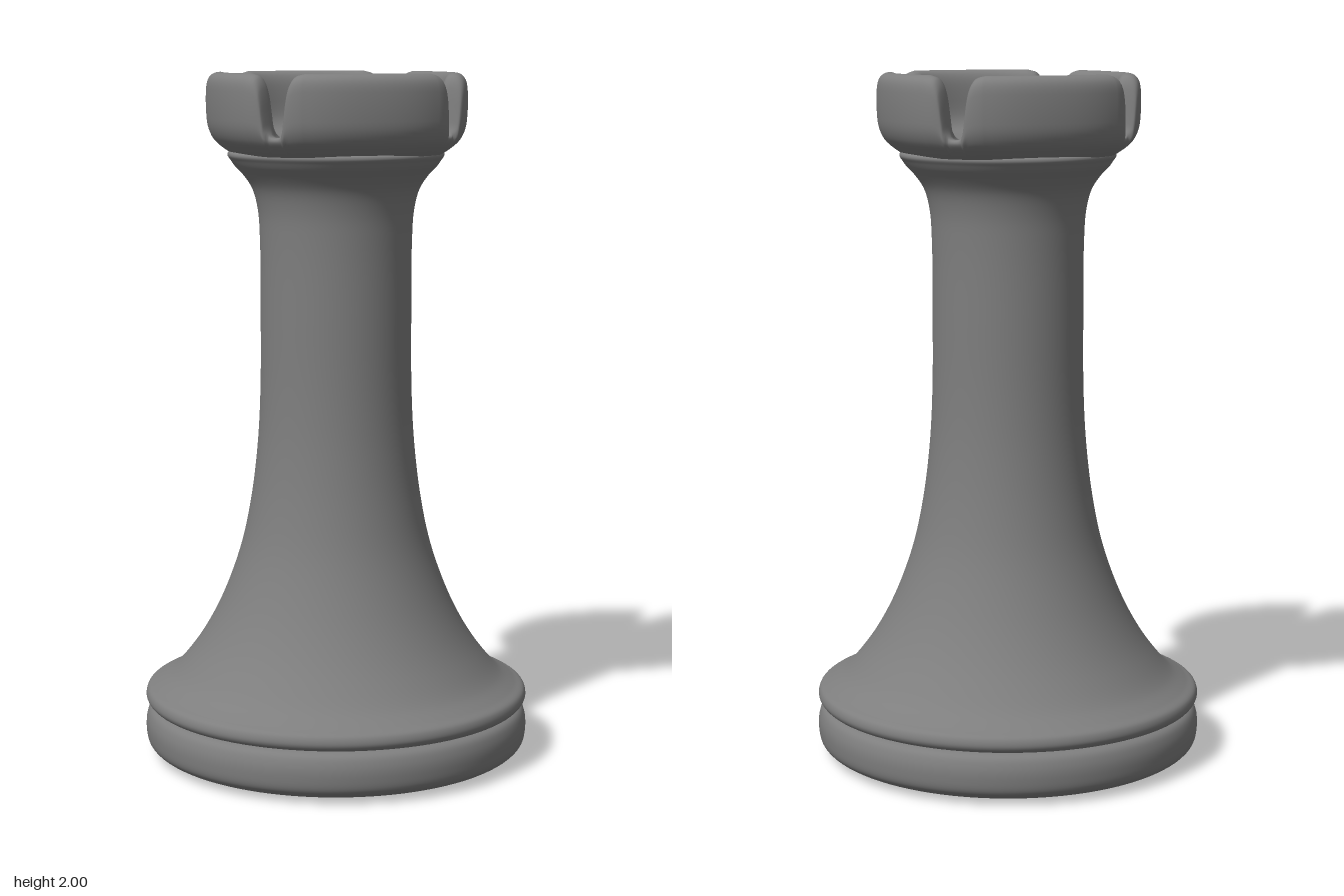
import * as THREE from 'three';

const material = new THREE.MeshStandardMaterial({ color: 0x7e7e7e });
const { clamp, lerp } = THREE.MathUtils;

// Smooth curve through a few [radius, height] points
function smoothProfile(points, perSegment) {
  const curve = new THREE.CatmullRomCurve3(
    points.map(([r, y]) => new THREE.Vector3(r, y, 0)), false, 'centripetal');
  return curve.getPoints((points.length - 1) * perSegment)
    .map((p) => new THREE.Vector2(Math.max(0, p.x), Math.max(0, p.y)));
}

function turned(name, points) {
  const mesh = new THREE.Mesh(new THREE.LatheGeometry(smoothProfile(points, 6), 96), material);
  mesh.name = name;
  return mesh;
}

// Crown: one ring of sections blending between a merlon wall and a low notch
function crownGeometry() {
  const wall = smoothProfile([
    [0.305, 1.77], [0.333, 1.789], [0.355, 1.81], [0.369, 1.838], [0.375, 1.87],
    [0.376, 1.95], [0.370, 1.98], [0.357, 1.995], [0.338, 2.0], [0.320, 1.993],
    [0.308, 1.97], [0.302, 1.93], [0.296, 1.87], [0.279, 1.838], [0.25, 1.821],
    [0.15, 1.815], [0, 1.815],
  ], 3);
  const notch = smoothProfile([
    [0.305, 1.77], [0.325, 1.784], [0.34, 1.797], [0.349, 1.808], [0.352, 1.815],
    [0.351, 1.82], [0.348, 1.823], [0.344, 1.8245], [0.338, 1.825], [0.332, 1.825],
    [0.328, 1.8245], [0.32, 1.823], [0.308, 1.821], [0.29, 1.819], [0.25, 1.816],
    [0.15, 1.815], [0, 1.815],
  ], 3);

  // Edge of a merlon seen from outside: [distance from notch centre, height]
  const edge = smoothProfile([
    [0, 1.825], [0.014, 1.828], [0.026, 1.845], [0.032, 1.88], [0.039, 1.94],
    [0.047, 1.973], [0.061, 1.992], [0.088, 2.0],
  ], 4);
  const eighth = edge.map((p) => ({
    angle: p.x / 0.36,
    rise: clamp((p.y - 1.825) / 0.175, 0, 1),
    width: Math.sqrt(1 - (1 - clamp((p.x - 0.022) / 0.066, 0, 1)) ** 2),
  }));
  const first = eighth[eighth.length - 1].angle;
  for (let i = 1; i <= 10; i++) {
    eighth.push({ angle: lerp(first, Math.PI / 4, i / 10), rise: 1, width: 1 });
  }
  // mirror to a quarter, leaving out the shared end stations
  const quarter = eighth.concat(eighth.slice(1, -1).reverse()
    .map((s) => ({ ...s, angle: Math.PI / 2 - s.angle })));

  const positions = [], indices = [];
  for (let q = 0; q < 4; q++) {
    for (const { angle, rise, width } of quarter) {
      const a = angle + (q * Math.PI) / 2;
      const squareness = 1 + 0.03 * Math.cos(4 * a); // flatter on the diagonals
      wall.forEach((p, j) => {
        const r = lerp(notch[j].x, p.x, width) * squareness;
        positions.push(r * Math.sin(a), lerp(notch[j].y, p.y, rise), r * Math.cos(a));
      });
    }
  }
  const n = wall.length, stations = quarter.length * 4;
  for (let i = 0; i < stations; i++) {
    for (let j = 0; j < n - 1; j++) {
      const a = i * n + j, b = ((i + 1) % stations) * n + j;
      indices.push(a, b, a + 1, b, b + 1, a + 1);
    }
  }
  const geometry = new THREE.BufferGeometry();
  geometry.setAttribute('position', new THREE.Float32BufferAttribute(positions, 3));
  geometry.setIndex(indices);
  geometry.computeVertexNormals();
  return geometry;
}

export function createModel() {
  const group = new THREE.Group();
  group.name = 'rook';

  // Rounded foot disc
  group.add(turned('foot', [
    [0, 0], [0.40, 0], [0.47, 0.004], [0.53, 0.018], [0.557, 0.04], [0.565, 0.08],
    [0.562, 0.115], [0.55, 0.14], [0.525, 0.15], [0.40, 0.152], [0, 0.152],
  ]));

  // Base ring, flared shaft and collar
  group.add(turned('shaft', [
    [0.40, 0.15], [0.535, 0.152], [0.555, 0.16], [0.564, 0.176], [0.558, 0.198],
    [0.53, 0.213], [0.485, 0.242], [0.43, 0.305], [0.38, 0.38], [0.33, 0.48],
    [0.28, 0.62], [0.25, 0.76], [0.23, 0.92], [0.221, 1.08], [0.219, 1.3],
    [0.22, 1.52], [0.226, 1.61], [0.242, 1.67], [0.27, 1.712], [0.292, 1.735],
    [0.304, 1.752], [0.312, 1.765], [0.309, 1.774], [0.28, 1.78],
  ]));

  // Crown with four merlons, notches and floor
  const crown = new THREE.Mesh(crownGeometry(), material);
  crown.name = 'crown';
  group.add(crown);
  return group;
}
